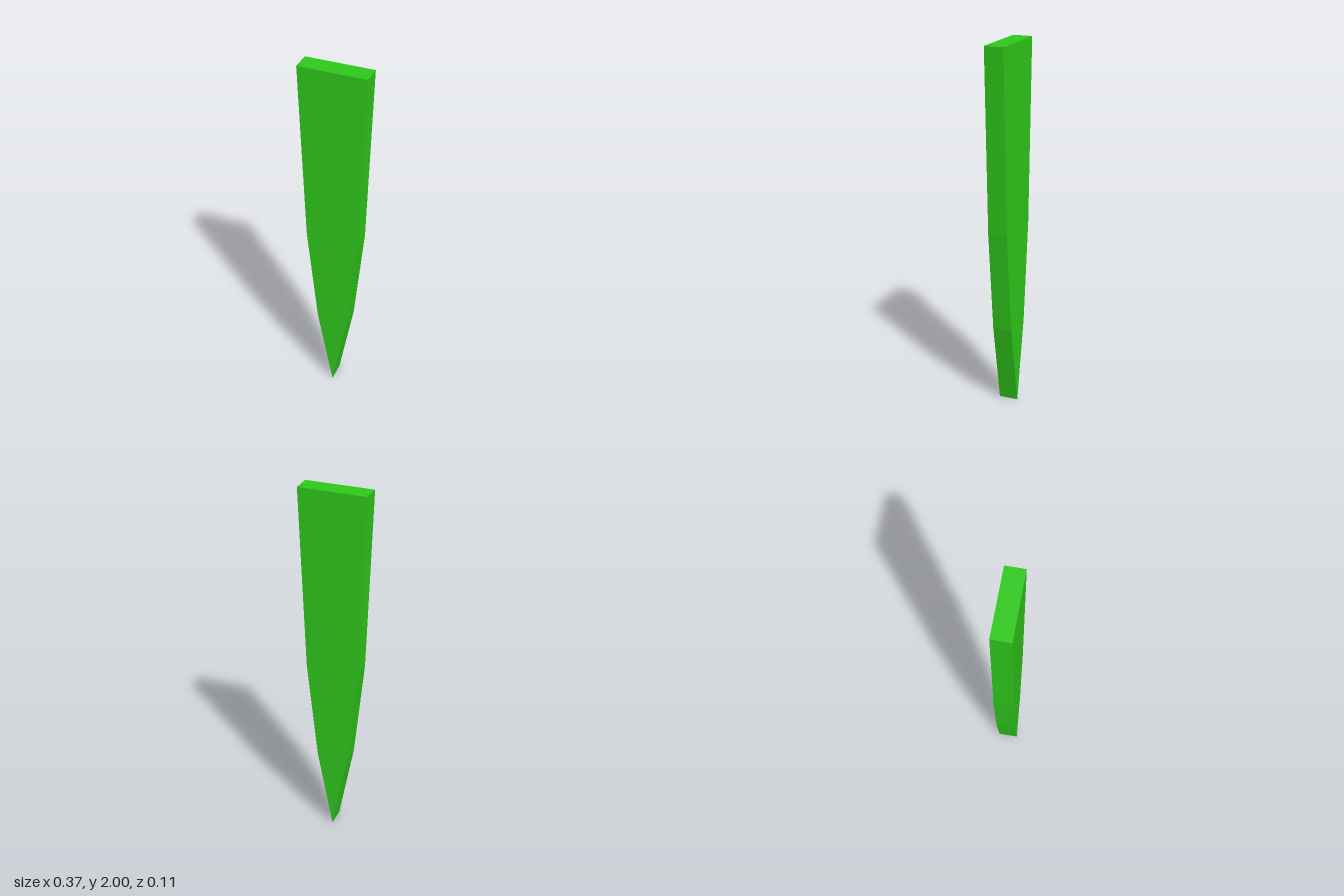
import * as THREE from 'three';

export function createModel() {
  const model = new THREE.Group();
  const depth = 0.106;

  // Half outline from the top corner down, mirrored about the pointed tip
  const half = [[0.186, 2], [0.146, 1], [0.087, 0.45]];
  const outline = [
    ...half.map(([x, y]) => new THREE.Vector2(-x, y)),
    new THREE.Vector2(0, 0),
    ...half.slice().reverse().map(([x, y]) => new THREE.Vector2(x, y)),
  ];

  // Flat tapered stake of even thickness
  const geometry = new THREE.ExtrudeGeometry(new THREE.Shape(outline), { depth, bevelEnabled: false });
  geometry.translate(0, 0, -depth / 2);

  const stake = new THREE.Mesh(
    geometry,
    new THREE.MeshStandardMaterial({ color: 0x30cc1c, flatShading: true }),
  );
  stake.name = 'taperedStake';
  model.add(stake);
  return model;
}
